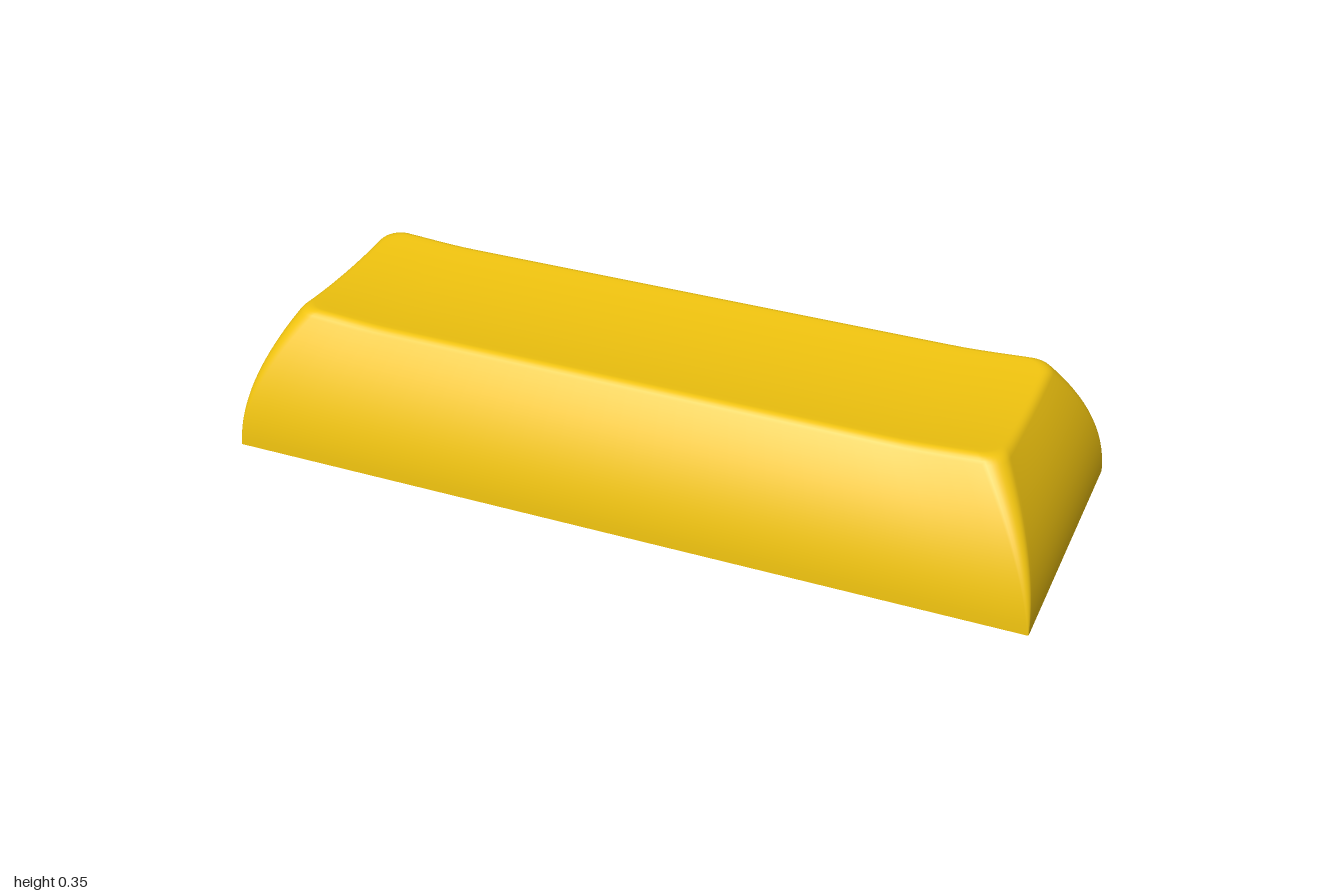
import * as THREE from 'three';
import { toCreasedNormals } from 'three/addons/utils/BufferGeometryUtils.js';

const HX = 1, HZ = 0.355; // half length and half depth at the base
const SIDE = 40, ARC = 8; // steps per straight side and per corner

// Rounded rectangle loop, inset from the base outline, as [x, z] pairs
function ring(inset, radius) {
  const hx = HX - inset, hz = Math.max(HZ - inset, 0);
  const r = Math.min(radius, hz);
  const corners = [[1, 1], [-1, 1], [-1, -1], [1, -1]];
  const points = [];
  corners.forEach(([sx, sz], q) => {
    for (let i = 0; i <= ARC; i++) {
      const a = (q + i / ARC) * Math.PI / 2;
      points.push([sx * (hx - r) + r * Math.cos(a), sz * (hz - r) + r * Math.sin(a)]);
    }
    // straight run to the start of the next corner
    const [nx, nz] = corners[(q + 1) % 4];
    const end = (q + 1) * Math.PI / 2;
    const [x0, z0] = points[points.length - 1];
    const x1 = nx * (hx - r) + r * Math.cos(end), z1 = nz * (hz - r) + r * Math.sin(end);
    for (let i = 1; i < SIDE; i++) {
      const t = i / SIDE;
      points.push([x0 + (x1 - x0) * t, z0 + (z1 - z0) * t]);
    }
  });
  return points;
}

// Skin a list of loops that all have the same number of [x, y, z] points
function loft(loops) {
  const n = loops[0].length, index = [];
  for (let j = 0; j < loops.length - 1; j++) {
    for (let i = 0; i < n; i++) {
      const k = (i + 1) % n;
      const a = j * n + i, b = j * n + k, c = a + n, d = b + n;
      index.push(a, c, b, b, c, d);
    }
  }
  const g = new THREE.BufferGeometry();
  g.setAttribute('position', new THREE.Float32BufferAttribute(loops.flat(2), 3));
  g.setIndex(index);
  g.computeVertexNormals();
  return g;
}

// Height of the dished top, hollow across the depth and raised at the ends
function dish(x, z) {
  const end = THREE.MathUtils.smoothstep(Math.abs(x), 0.62, 0.9);
  return 0.327 + 0.013 * (z / 0.215) ** 2 + 0.012 * end;
}

export function createModel() {
  const group = new THREE.Group();
  group.name = 'keycap';
  const material = new THREE.MeshStandardMaterial({ color: 0xf1c40f });
  const add = (geometry, name) => {
    const mesh = new THREE.Mesh(geometry, material);
    mesh.name = name;
    group.add(mesh);
  };

  // Outer shell: curved walls, soft rim, dished top
  const RIM = 0.14, R = 0.05, DROP = 0.014;
  const rim = ring(RIM, R).map(([x, z]) => dish(x, z));
  const loops = [];
  for (let j = 0; j <= 14; j++) {
    const t = j / 14;
    loops.push(ring(0.113 * t * t, 0.003 + (R - 0.003) * t)
      .map(([x, z], i) => [x, t * (rim[i] - DROP), z]));
  }
  for (let j = 1; j <= 5; j++) {
    const t = j / 5, u = 1 - t;
    const inset = u * u * 0.113 + 2 * u * t * 0.123 + t * t * RIM;
    const drop = u * u * DROP - 2 * u * t * 0.001;
    loops.push(ring(inset, R).map(([x, z], i) => [x, rim[i] - drop, z]));
  }
  for (let j = 1; j <= 12; j++) {
    const t = j / 12;
    loops.push(ring(RIM + (HZ - RIM) * t, R * (1 - t)).map(([x, z]) => [x, dish(x, z), z]));
  }
  add(loft(loops), 'outerShell');

  // Hollow underside: flat ceiling, sloping inner walls, bottom rim
  const WALL = 0.062, CEILING = 0.285;
  const flat = (inset, radius, y) => ring(inset, radius).map(([x, z]) => [x, y, z]);
  const inner = loft([
    flat(HZ, 0, CEILING),
    flat(WALL + 0.085, 0.03, CEILING),
    flat(WALL, 0.003, 0),
    flat(0, 0.003, 0),
  ]);
  add(toCreasedNormals(inner, 0.5), 'innerCavity');

  return group;
}
